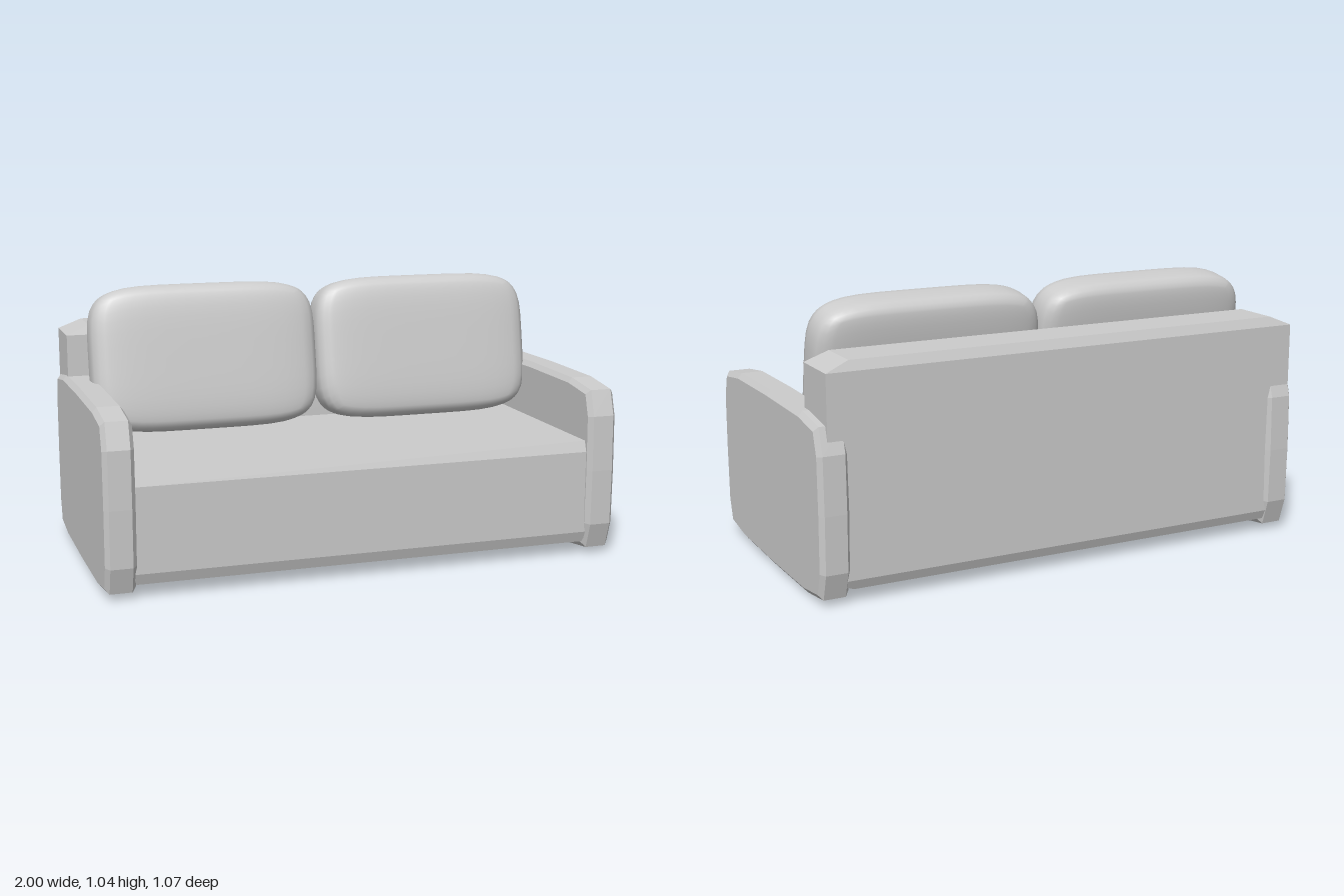
import * as THREE from 'three';
import { mergeVertices } from 'three/addons/utils/BufferGeometryUtils.js';

const material = new THREE.MeshStandardMaterial({ color: 0xcccccc });

function addMesh(parent, name, geometry) {
  const mesh = new THREE.Mesh(geometry, material);
  mesh.name = name;
  parent.add(mesh);
  return mesh;
}

// Box whose top and bottom rims are chamfered by (cx, cy, cz)
function chamferedBox([x0, x1], [y0, y1], [z0, z1], [cx, cy, cz]) {
  const box = new THREE.BoxGeometry(x1 - x0, 3, z1 - z0, 1, 3, 1);
  const levels = [y0, y0 + cy, y1 - cy, y1];
  const p = box.attributes.position;
  for (let i = 0; i < p.count; i++) {
    const level = Math.round(p.getY(i) + 1.5);
    const inset = level === 0 || level === 3 ? 1 : 0;
    p.setXYZ(i,
      (x0 + x1) / 2 + p.getX(i) - Math.sign(p.getX(i)) * cx * inset,
      levels[level],
      (z0 + z1) / 2 + p.getZ(i) - Math.sign(p.getZ(i)) * cz * inset);
  }
  const flat = box.toNonIndexed();
  flat.computeVertexNormals();
  return flat;
}

// Armrest: slightly bulging side outline, bevelled on both faces
function armGeometry() {
  const quarter = [[0.535, 0], [0.531, 0.215], [0.5, 0.314], [0.34, 0.336], [0, 0.34]];
  const mirrored = quarter.slice(0, 4).reverse().map(([z, y]) => [-z, y]);
  const top = [...quarter, ...mirrored];
  const bottom = top.slice(1, -1).reverse().map(([z, y]) => [z, -y]);
  const outline = [...top, ...bottom].map(([z, y]) => new THREE.Vector2(z, y + 0.34));
  const bevel = 0.016, width = 0.115;
  const geometry = new THREE.ExtrudeGeometry(new THREE.Shape(outline), {
    depth: width - 2 * bevel, bevelEnabled: true, bevelSegments: 1,
    bevelThickness: bevel, bevelSize: 0.02, bevelOffset: -0.02,
  });
  geometry.translate(0, 0, bevel - width / 2);
  geometry.rotateY(-Math.PI / 2);
  return geometry;
}

// Plump cushion: a cube grid projected onto a superellipsoid
function cushionGeometry(halfX, halfY, halfZ, power) {
  const geometry = new THREE.BoxGeometry(2, 2, 2, 16, 16, 10);
  const p = geometry.attributes.position;
  const v = new THREE.Vector3();
  const spread = (t) => Math.sin(t * Math.PI / 2);
  for (let i = 0; i < p.count; i++) {
    v.set(spread(p.getX(i)), spread(p.getY(i)), spread(p.getZ(i)));
    const length = (Math.abs(v.x) ** power + Math.abs(v.y) ** power + Math.abs(v.z) ** power) ** (1 / power);
    v.divideScalar(length);
    p.setXYZ(i, v.x * halfX, v.y * halfY, v.z * halfZ);
  }
  geometry.deleteAttribute('uv');
  geometry.deleteAttribute('normal');
  const smooth = mergeVertices(geometry, 1e-5);
  smooth.computeVertexNormals();
  return smooth;
}

export function createModel() {
  const sofa = new THREE.Group();
  sofa.name = 'sofa';

  // Seat block and backrest, both running down to the underside
  addMesh(sofa, 'seat', chamferedBox([-0.9, 0.9], [0.05, 0.455], [-0.31, 0.508], [0.015, 0.042, 0.015]));
  addMesh(sofa, 'backrest', chamferedBox([-0.985, 0.96], [0.05, 0.877], [-0.517, -0.3], [0.09, 0.037, 0.015]));

  // Pair of armrests
  const arm = armGeometry();
  addMesh(sofa, 'rightArm', arm).position.x = -0.9425;
  addMesh(sofa, 'leftArm', arm).position.x = 0.9425;

  // Two back cushions leaning against the backrest
  const cushion = cushionGeometry(0.454, 0.288, 0.099, 5);
  for (const [name, x] of [['rightCushion', -0.465], ['leftCushion', 0.447]]) {
    const mesh = addMesh(sofa, name, cushion);
    mesh.position.set(x, 0.752, -0.172);
    mesh.rotation.x = -0.18;
  }
  return sofa;
}
